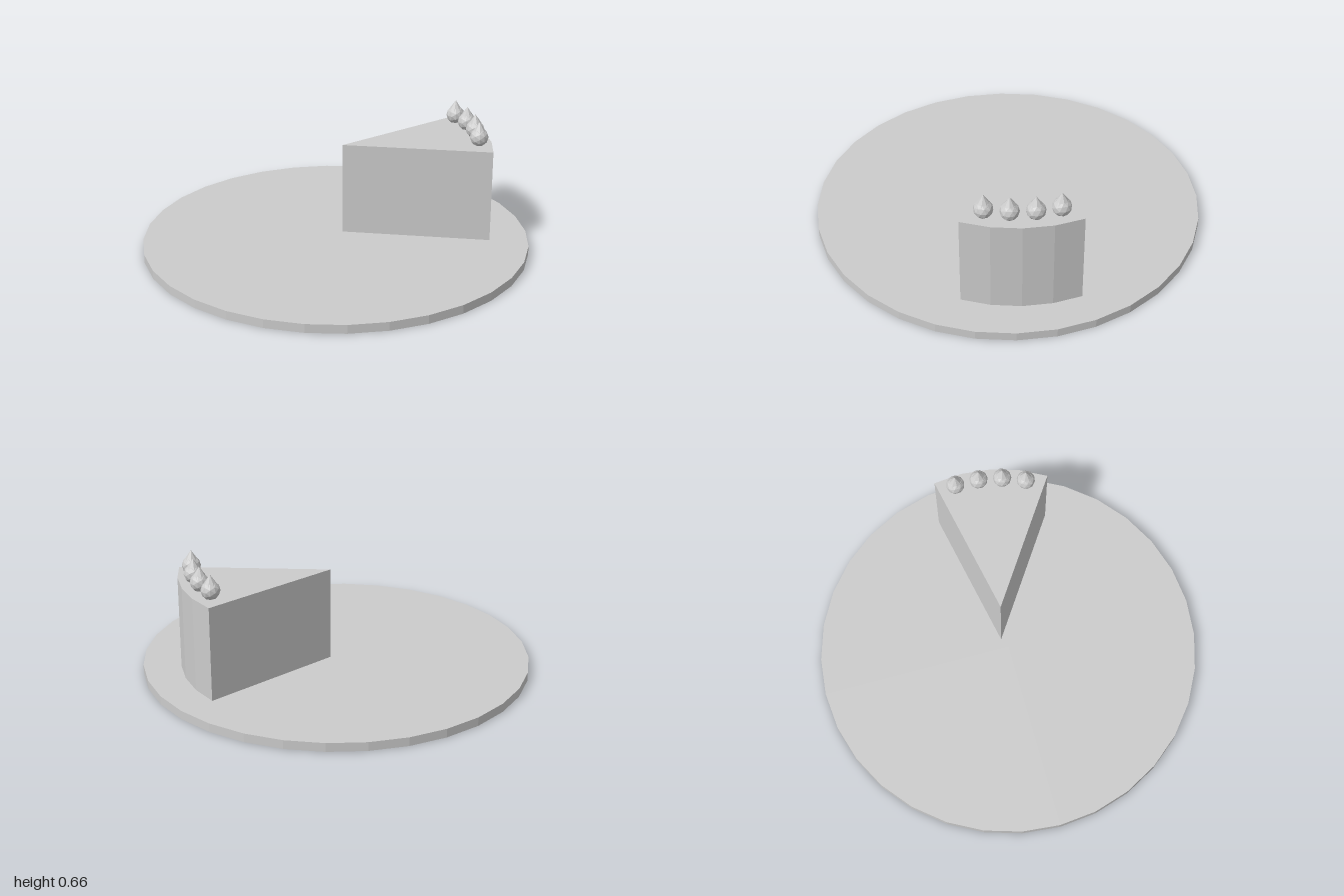
import * as THREE from 'three';

const PLATE_TOP = 0.045, CAKE_TOP = 0.53, CAKE_RADIUS = 0.77;
const APEX = { x: 0.055, z: -0.015 };

export function createModel() {
  const model = new THREE.Group();
  const material = new THREE.MeshStandardMaterial({ color: 0xcccccc, flatShading: true });
  const add = (parent, name, geometry) => {
    const mesh = new THREE.Mesh(geometry, material);
    mesh.name = name;
    parent.add(mesh);
    return mesh;
  };

  // Round flat plate
  add(model, 'plate', new THREE.CylinderGeometry(1, 1, PLATE_TOP, 32))
    .position.y = PLATE_TOP / 2;

  // Cake slice: an eighth of a round cake with a faceted outer wall
  const wedge = new THREE.Shape();
  wedge.moveTo(0, 0);
  for (let i = 0; i <= 4; i++) {
    const a = (i / 4) * Math.PI / 4;
    wedge.lineTo(CAKE_RADIUS * Math.cos(a), CAKE_RADIUS * Math.sin(a));
  }
  wedge.closePath();
  const slice = new THREE.ExtrudeGeometry(wedge, { depth: CAKE_TOP - PLATE_TOP, bevelEnabled: false });
  slice.rotateX(Math.PI / 2);
  add(model, 'cakeSlice', slice).position.set(APEX.x, CAKE_TOP, APEX.z);

  // Piped cream drops along the outer rim: a ball with a pointed tip
  const ball = new THREE.IcosahedronGeometry(0.048, 1);
  const tip = new THREE.ConeGeometry(0.038, 0.055, 8, 1, true);
  for (let i = 0; i < 4; i++) {
    const a = THREE.MathUtils.degToRad(7 + 10.1 * i);
    const drop = new THREE.Group();
    drop.name = 'creamDrop' + (i + 1);
    add(drop, 'creamBall', ball).position.y = 0.046;
    add(drop, 'creamTip', tip).position.y = 0.0985;
    drop.position.set(APEX.x + 0.698 * Math.cos(a), CAKE_TOP, APEX.z + 0.698 * Math.sin(a));
    drop.rotation.y = -a;
    model.add(drop);
  }
  return model;
}
